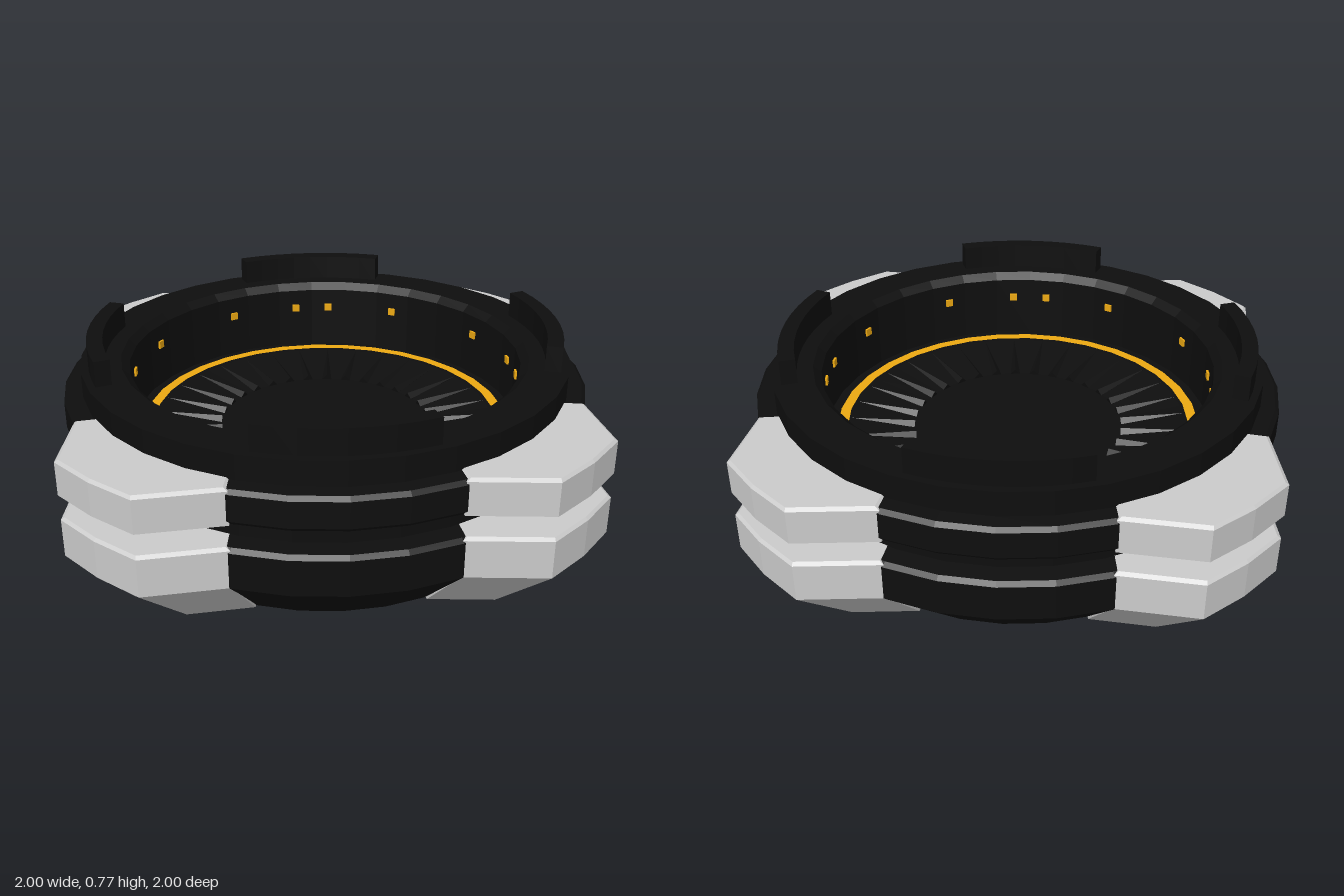
import * as THREE from 'three';
import { ConvexGeometry } from 'three/addons/geometries/ConvexGeometry.js';

const black = new THREE.MeshStandardMaterial({ color: 0x0e0e0e, flatShading: true });
const grey = new THREE.MeshStandardMaterial({ color: 0xcccccc, flatShading: true });
const amber = new THREE.MeshStandardMaterial({ color: 0xeda912, flatShading: true });

// Outer outline of one corner pad, as [x, z]
const PAD = [[0.38, 0.92], [0.68, 0.95], [0.825, 0.825], [0.95, 0.68], [0.92, 0.38]];
// Closed by two points buried in the body
const PAD_CLOSED = [...PAD, [0.80, 0.36], [0.36, 0.80]];

export function createModel() {
  const model = new THREE.Group();
  const add = (name, geometry, material, parent = model) => {
    const mesh = new THREE.Mesh(geometry, material);
    mesh.name = name;
    parent.add(mesh);
    return mesh;
  };
  const spin = (name, count, start, build) => {
    for (let i = 0; i < count; i++) {
      const g = new THREE.Group();
      g.name = name;
      g.rotation.y = start + (i * Math.PI * 2) / count;
      build(g);
      model.add(g);
    }
  };

  // Body: tapered base, groove, upper band, rim, well and dished floor
  const profile = [
    [0, 0], [0.78, 0], [1, 0.215], [1, 0.35], [0.985, 0.365], [0.915, 0.367],
    [0.915, 0.452], [0.985, 0.454], [1, 0.47], [1, 0.568], [0.985, 0.582],
    [0.93, 0.583], [0.93, 0.677], [0.78, 0.677], [0.75, 0.65], [0.75, 0.395],
    [0.66, 0.395], [0.42, 0.36], [0, 0.36],
  ].map(([r, y]) => new THREE.Vector2(r, y));
  add('body', new THREE.LatheGeometry(profile, 32), black);

  // Amber ring round the floor
  const ring = new THREE.RingGeometry(0.67, 0.71, 32);
  ring.rotateX(-Math.PI / 2).translate(0, 0.401, 0);
  add('floorRing', ring, amber);

  // Corner pads: hulls of scaled outlines [y, scale, scaling centre]
  const hull = (levels) => new ConvexGeometry(levels.flatMap(([y, s, c]) =>
    PAD_CLOSED.map(([x, z]) => new THREE.Vector3(c + (x - c) * s, y, c + (z - c) * s))));
  const lowerPad = hull([[0.003, 0.8, 0], [0.215, 1, 0], [0.357, 1, 0], [0.367, 0.95, 0.68]]);
  const upperPad = hull([[0.453, 1, 0], [0.578, 1, 0], [0.588, 0.95, 0.68]]);
  spin('cornerPads', 4, 0, (g) => {
    add('lowerPad', lowerPad, grey, g);
    add('upperPad', upperPad, grey, g);
  });

  // Dark underside reaching out beneath the pads
  const under = [];
  for (let i = 0; i < 4; i++) {
    for (const [x, z] of [...PAD].reverse()) {
      under.push(new THREE.Vector2(x * 0.8, z * 0.8)
        .rotateAround(new THREE.Vector2(), (i * Math.PI) / 2));
    }
  }
  add('underside', new THREE.ShapeGeometry(new THREE.Shape(under)).rotateX(Math.PI / 2), black);

  // Four raised arcs on the rim
  const half = 0.352;
  const arc = new THREE.Shape();
  arc.absarc(0, 0, 0.9, -half, half, false);
  arc.absarc(0, 0, 0.84, half, -half, true);
  const tab = new THREE.ExtrudeGeometry(arc, { depth: 0.115, bevelEnabled: false, curveSegments: 4 });
  tab.rotateX(-Math.PI / 2).translate(0, 0.66, 0);
  spin('rimTab', 4, 0, (g) => add('tab', tab, black, g));

  // Small lights on the wall of the well
  const light = new THREE.BoxGeometry(0.012, 0.03, 0.03).translate(0.744, 0.57, 0);
  for (const k of [-2.5, -0.5, 0.5, 2.5]) {
    spin('wallLight', 4, (k * Math.PI) / 16, (g) => add('light', light, amber, g));
  }

  // Radial fins on the floor, tips outward
  const fin = new THREE.ConeGeometry(0.02, 0.25, 4);
  fin.rotateZ(-Math.PI / 2 + 0.145).translate(0.535, 0.38, 0);
  spin('floorFin', 32, Math.PI / 32, (g) => add('fin', fin, black, g));

  return model;
}
